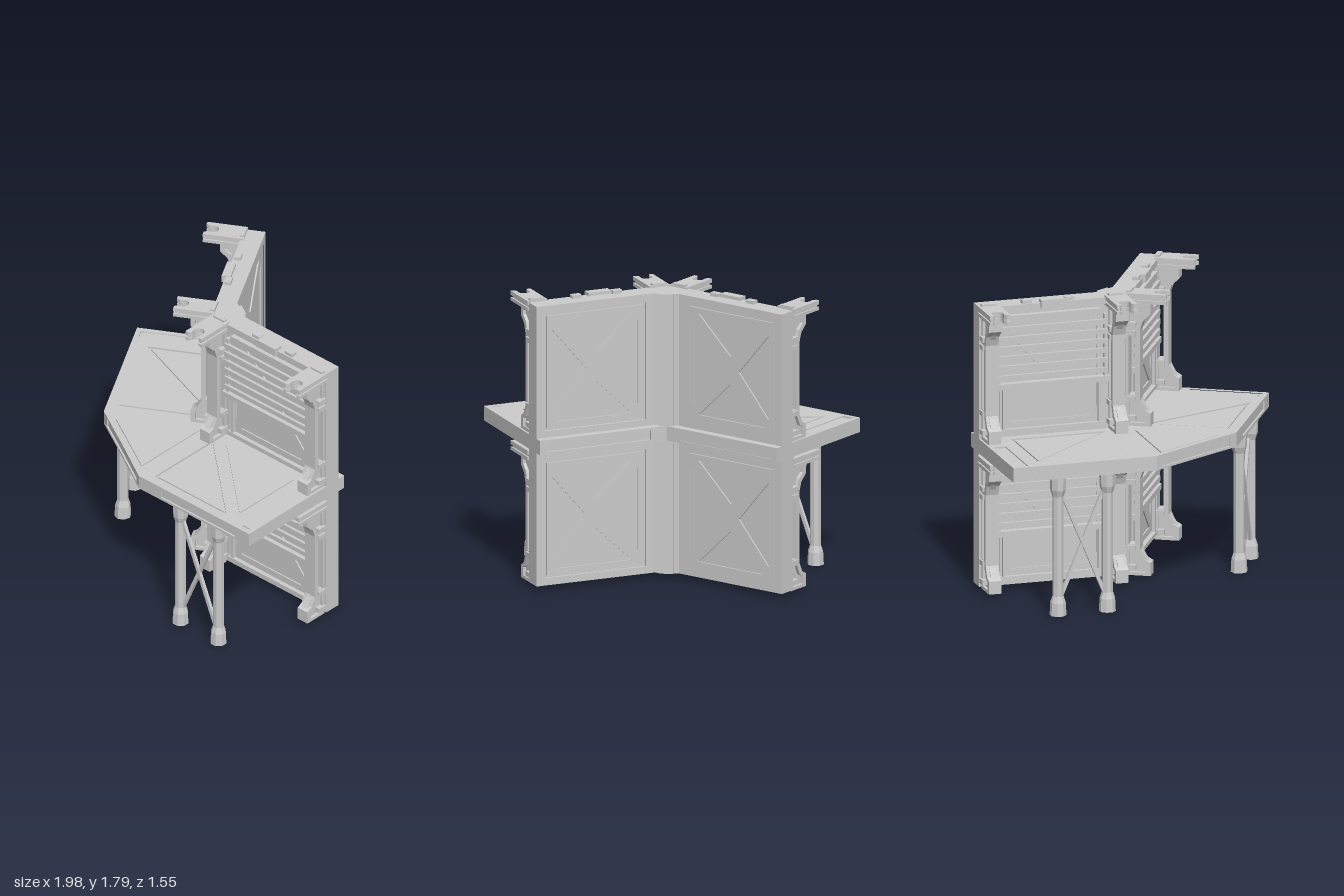
import * as THREE from 'three';

const grey = new THREE.MeshStandardMaterial({ color: 0xcccccc, flatShading: true });
const CORNER = new THREE.Vector3(0.155, 0, -0.07); // where the two wings meet at the back
const UEND = 0.825;

function add(parent, name, geo, x = 0, y = 0, z = 0, ry = 0) {
  const m = new THREE.Mesh(geo, grey);
  m.name = name;
  m.position.set(x, y, z);
  m.rotation.y = ry;
  parent.add(m);
  return m;
}
const box = (w, h, d) => new THREE.BoxGeometry(w, h, d);
const rect = (x0, y0, x1, y1) => [[x0, y0], [x1, y0], [x1, y1], [x0, y1]];

// Upright plate in XY, extruded towards +z
function plate(outline, depth, holes = []) {
  const toV = (p) => p.map(([x, y]) => new THREE.Vector2(x, y));
  const s = new THREE.Shape(toV(outline));
  holes.forEach((h) => s.holes.push(new THREE.Path(toV(h))));
  return new THREE.ExtrudeGeometry(s, { depth, bevelEnabled: false });
}
// Flat plate given by [x, z] points, extruded upwards
function slab(outline, height, holes = []) {
  const f = (p) => p.map(([x, z]) => [x, -z]);
  return plate(f(outline), height, holes.map(f)).rotateX(-Math.PI / 2);
}
const flip = (pts, s) => pts.map(([u, v]) => [u * s, v]);

// Wing coordinates (u along the wall, v forward) to ground plan, side 1 or -1
function toPlan(side, [u, v]) {
  if (side === 1) return [CORNER.x + u, CORNER.z + v];
  const c = 0.5, s = Math.sqrt(3) / 2;
  return [CORNER.x - u * c - v * s, CORNER.z - u * s + v * c];
}
const planOf = (side, pts) => pts.map((p) => toPlan(side, p));
const bothSides = (pts) => [...planOf(1, pts), ...planOf(-1, pts).reverse()];

// Frame with four triangular recesses that leave a raised cross
function crossPanel(w, h, d) {
  const a = w / 2, b = h / 2, m = 0.035;
  const tx = a - 0.075, ty = b - 0.09;
  const holes = [];
  for (const s of [1, -1]) {
    holes.push([[-tx, s * (b - m)], [tx, s * (b - m)], [0, s * 0.085]]);
    holes.push([[s * (a - m), -ty], [s * (a - m), ty], [s * 0.06, 0]]);
  }
  return plate(rect(-a, -b, a, b), d, holes);
}

// Wall bracket: foot, free post and head in one side profile, with a forked top plate
function makeConsole() {
  const g = new THREE.Group();
  g.name = 'console';
  const profile = [[0, 0], [0.15, 0], [0.15, 0.08], [0.115, 0.1], [0.085, 0.16], [0.085, 0.6],
    [0.105, 0.66], [0.15, 0.7], [0.15, 0.77], [0, 0.77]];
  const holes = [
    rect(0.015, 0.19, 0.055, 0.58),
    [[0.02, 0.02], [0.12, 0.02], [0.12, 0.07], [0.09, 0.085], [0.06, 0.15], [0.02, 0.15]],
    [[0.02, 0.62], [0.06, 0.62], [0.08, 0.68], [0.12, 0.715], [0.12, 0.745], [0.02, 0.745]],
  ];
  const W = 0.08;
  add(g, 'bracket', plate(profile, W, holes).rotateY(-Math.PI / 2), W / 2, 0, 0);
  // solid core closing the bracket ends, thinner than the rim
  const core = plate([[0, 0], [0.14, 0], [0.14, 0.08], [0.075, 0.17], [0, 0.17]], 0.04);
  add(g, 'footCore', core.rotateY(-Math.PI / 2), 0.02, 0, 0);
  const head = plate([[0, 0.6], [0.075, 0.6], [0.14, 0.71], [0.14, 0.77], [0, 0.77]], 0.04);
  add(g, 'headCore', head.rotateY(-Math.PI / 2), 0.02, 0, 0);
  for (const y of [0.05, 0.17, 0.58, 0.63]) add(g, 'band', box(0.105, 0.03, 0.06), 0, y, 0.03);

  const fork = (w, len) => {
    const pts = [[-w, 0], [w, 0], [w, len], [0.042, len], [0.03, len - 0.02]];
    for (let i = 0; i <= 8; i++) {
      const a = (i / 8) * Math.PI;
      pts.push([0.034 * Math.cos(a), len - 0.05 - 0.034 * Math.sin(a)]);
    }
    return [...pts, [-0.03, len - 0.02], [-0.042, len], [-w, len]];
  };
  add(g, 'topPlateLower', slab(fork(0.065, 0.25), 0.02), 0, 0.77, 0);
  add(g, 'topPlateMiddle', slab(fork(0.055, 0.24), 0.02), 0, 0.785, 0);
  add(g, 'topPlateUpper', slab(fork(0.065, 0.25), 0.025), 0, 0.805, 0);
  add(g, 'topPlateStop', box(0.09, 0.015, 0.03), 0, 0.835, 0.015);
  return g;
}

function makeLeg() {
  const g = new THREE.Group();
  g.name = 'leg';
  const cyl = (rt, rb, h) => new THREE.CylinderGeometry(rt, rb, h, 8).rotateY(Math.PI / 8);
  add(g, 'shaft', cyl(0.034, 0.034, 0.8), 0, 0.43, 0);
  add(g, 'foot', cyl(0.047, 0.051, 0.08), 0, 0.04, 0);
  add(g, 'footTaper', cyl(0.034, 0.047, 0.04), 0, 0.1, 0);
  add(g, 'capTaper', cyl(0.047, 0.034, 0.04), 0, 0.76, 0);
  add(g, 'cap', cyl(0.05, 0.047, 0.085), 0, 0.8225, 0);
  return g;
}

function makeWing(side) {
  const g = new THREE.Group();
  g.name = side === 1 ? 'leftWing' : 'rightWing';
  g.position.copy(CORNER);
  if (side === -1) g.rotation.y = -Math.PI / 3;

  // wall core with mitred corner, faced with framed plates
  const core = [[-0.037, 0.065], [UEND, 0.065], [UEND, 0.145], [-0.083, 0.145]];
  add(g, 'wallCore', slab(flip(core, side), 1.74), 0, 0.03, 0);
  const levels = [0.44, 1.355], H = 0.73;
  const facing = (u0, h0, h1) => plate(flip(rect(u0, 0.03, UEND, 1.77), side), 0.015,
    levels.map((y) => flip(rect(h0, y - H / 2, h1, y + H / 2), side)));
  add(g, 'backFacing', facing(-0.03, 0.11, 0.77), 0, 0, 0.05);
  add(g, 'frontFacing', facing(-0.09, 0.035, 0.71), 0, 0, 0.145);

  for (const y of levels) {
    add(g, 'backCross', crossPanel(0.63, H - 0.03, 0.009), side * 0.44, y, 0.056);
    add(g, 'frontCross', crossPanel(0.645, H - 0.03, 0.009), side * 0.3725, y, 0.145);
    // slatted shutter in front of the upper half
    const mid = side * 0.3725;
    add(g, 'shutterSill', box(0.72, 0.035, 0.045), mid, y - 0.085, 0.18);
    for (let i = 0; i < 6; i++) add(g, 'slat', box(0.69, 0.03, 0.018), mid, y - 0.03 + i * 0.06, 0.19);
    add(g, 'shutterHead', box(0.6, 0.045, 0.03), mid, y + 0.33, 0.175);
    for (const s of [1, -1]) {
      add(g, 'shutterRail', box(0.02, 0.4, 0.03), mid + s * 0.335, y + 0.115, 0.172);
      add(g, 'doorPost', box(0.02, 0.27, 0.02), mid + s * 0.3, y - 0.235, 0.168);
    }
    add(g, 'lowerSill', box(0.66, 0.02, 0.025), mid, y - 0.365, 0.17);
  }

  // consoles at both ends of each storey
  for (const u of [-0.027, 0.772]) {
    for (const y of [0.02, 0.95]) {
      const c = makeConsole();
      c.position.set(side * u, y, 0.16);
      g.add(c);
    }
  }

  // top trim
  add(g, 'topRail', box(0.7, 0.04, 0.03), side * 0.3725, 1.75, 0.165);
  add(g, 'topBlock', box(0.15, 0.05, 0.055), side * 0.37, 1.765, 0.172);
  for (const u of [0.26, 0.525]) add(g, 'topTab', box(0.06, 0.03, 0.04), side * u, 1.775, 0.15);

  // platform edges with recessed slots
  add(g, 'frontFascia', plate(flip(rect(-0.075, 0.86, UEND, 0.95), side), 0.012,
    [flip(rect(0.105, 0.875, 0.71, 0.935), side)]), 0, 0, 0.828);
  add(g, 'backFascia', plate(flip(rect(0, 0.86, UEND, 0.95), side), 0.012,
    [flip(rect(0.1, 0.875, 0.78, 0.935), side)]));

  // outer legs with crossed braces
  const legs = [0.22, 0.53];
  for (const u of legs) {
    const l = makeLeg();
    l.position.set(side * u, 0, 0.79);
    g.add(l);
  }
  const du = legs[1] - legs[0], dy = 0.74;
  for (const s of [1, -1]) {
    const b = add(g, 'crossBrace', box(0.022, Math.hypot(du, dy), 0.02), side * 0.375, 0.44, 0.79 + s * 0.004);
    b.rotation.z = s * Math.atan2(du, dy);
  }
  return g;
}

function makePlatform() {
  const g = new THREE.Group();
  g.name = 'platform';
  const inner = bothSides([[-0.007, 0.012], [UEND, 0.012], [UEND, 0.828], [-0.072, 0.828], [-0.375, 0.65]]);
  const outer = bothSides([[0, 0], [UEND, 0], [UEND, 0.84], [-0.075, 0.84], [-0.381, 0.66]]);
  const panels = [[[-0.46, 0.42], [0.03, 0.14], [0.03, 0.7]]];
  for (const s of [1, -1]) {
    panels.push(planOf(s, [[0, 0.27], [0, 0.78], [0.585, 0.78]]));
    panels.push(planOf(s, [[0.045, 0.22], [0.645, 0.22], [0.645, 0.74]]));
    panels.push(planOf(s, rect(0.725, 0.36, 0.795, 0.81)));
  }
  add(g, 'platformCore', slab(inner, 0.068), 0, 0.87, 0);
  add(g, 'underside', slab(outer, 0.012), 0, 0.86, 0);
  add(g, 'deck', slab(outer, 0.012, panels), 0, 0.938, 0);
  // inset deck panels leaving a groove around them
  for (const p of panels) {
    const c = p.reduce((a, q) => [a[0] + q[0] / p.length, a[1] + q[1] / p.length], [0, 0]);
    const small = p.map(([x, z]) => [c[0] + (x - c[0]) * 0.91, c[1] + (z - c[1]) * 0.91]);
    add(g, 'deckPanel', slab(small, 0.008), 0, 0.938, 0);
  }
  // slotted edge across the corner
  const [mx, mz] = toPlan(1, [-0.375, 0.65]);
  add(g, 'cornerFascia', plate(rect(-0.355, 0.86, 0.355, 0.95), 0.012,
    [rect(-0.3, 0.875, 0.3, 0.935)]), mx, 0, mz, -Math.PI / 6);
  return g;
}

export function createModel() {
  const model = new THREE.Group();
  model.name = 'cornerBuilding';
  model.add(makeWing(1), makeWing(-1), makePlatform());
  // pilaster filling the inner corner at the back
  add(model, 'cornerPilaster', box(0.16, 1.74, 0.09), 0.126, 0.9, -0.02, -Math.PI / 6);
  add(model, 'cornerRib', box(0.09, 1.74, 0.02), 0.152, 0.9, -0.065, -Math.PI / 6);
  return model;
}
